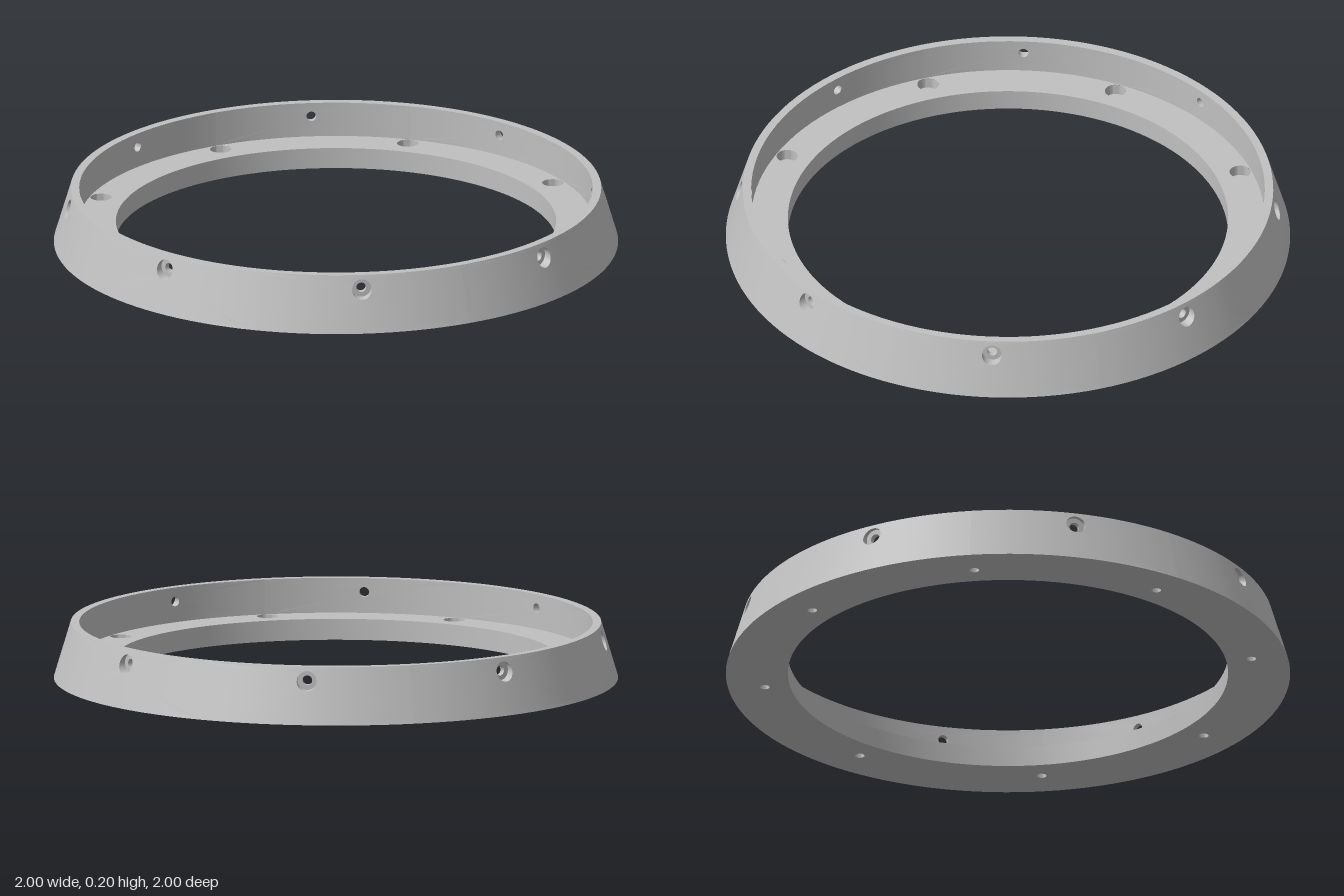
import * as THREE from 'three';
import { toCreasedNormals } from 'three/addons/utils/BufferGeometryUtils.js';

const H = 0.2, LEDGE = 0.075;                 // total height, ledge height
const R_BASE = 1, R_TOP = 0.94, R_WALL = 0.91, R_OPEN = 0.78;
const HOLE_Y = 0.15, BORE = 0.035, PIN = 0.0175, SEAT_Z = 0.93;
const COUNT = 8, STEP = Math.PI / 4;

const outerR = y => R_BASE + (R_TOP - R_BASE) * y / H;
const innerR = () => R_WALL;

// Grid surface from a rule fn(u, v) -> [x, y, z]
function grid(nu, nv, fn, flip = false) {
  const pos = [], idx = [];
  for (let j = 0; j <= nv; j++)
    for (let i = 0; i <= nu; i++) pos.push(...fn(i / nu, j / nv));
  for (let j = 0; j < nv; j++)
    for (let i = 0; i < nu; i++) {
      const a = j * (nu + 1) + i, b = a + 1, c = a + nu + 1, d = c + 1;
      if (flip) idx.push(a, d, b, a, c, d);
      else idx.push(a, b, d, a, d, c);
    }
  const g = new THREE.BufferGeometry();
  g.setAttribute('position', new THREE.Float32BufferAttribute(pos, 3));
  g.setIndex(idx);
  g.computeVertexNormals();
  return g;
}

// Point on a hole's rim, in the sector's tangent plane
function rim(u, r) {
  const a = (u * 4 - 1) * Math.PI / 4 * 2 + Math.PI / 4;
  return [r * Math.cos(a), HOLE_Y + r * Math.sin(a)];
}

// One eighth of a round wall, pierced by a round hole
function wallSector(radius, y0, hole, flip) {
  const S = STEP / 2, lerp = THREE.MathUtils.lerp;
  return grid(64, 8, (u, v) => {
    const [hx, hy] = rim(u, hole);
    const q = (u * 4) % 4, side = Math.floor(q), f = q - side;
    const edge = [
      [S, lerp(y0, H, f)], [lerp(S, -S, f), H],
      [-S, lerp(H, y0, f)], [lerp(-S, S, f), y0],
    ][side];
    const a = lerp(Math.asin(hx / radius(hy)), edge[0], v);
    const y = lerp(hy, edge[1], v), r = radius(y);
    return [r * Math.sin(a), y, r * Math.cos(a)];
  }, flip);
}

// Bore wall between two depths, each a rule of x and y
function bore(r, from, to) {
  return grid(64, 1, (u, v) => {
    const [x, y] = rim(u, r);
    return [x, y, v ? to(x, y) : from(x, y)];
  });
}

// Flat annulus with the eight screw holes
function annulus(r, holeR) {
  const s = new THREE.Shape().absarc(0, 0, r, 0, Math.PI * 2);
  s.holes.push(new THREE.Path().absarc(0, 0, R_OPEN, 0, Math.PI * 2, true));
  for (let k = 0; k < COUNT; k++) {
    const a = (k + 0.5) * STEP;
    s.holes.push(new THREE.Path().absarc(0.87 * Math.cos(a), 0.87 * Math.sin(a), holeR, 0, Math.PI * 2, true));
  }
  return new THREE.ShapeGeometry(s, 64);
}

const lathe = (pts, n) => toCreasedNormals(
  new THREE.LatheGeometry(pts.map(p => new THREE.Vector2(...p)), n), 0.6);

export function createModel() {
  const root = new THREE.Group();
  root.name = 'mountingRing';
  const metal = new THREE.MeshStandardMaterial({ color: 0xc0c0c0 });
  metal.name = 'light grey';
  const add = (name, geo, parent = root) => {
    const m = new THREE.Mesh(geo, metal);
    m.name = name;
    parent.add(m);
    return m;
  };

  // Flat faces and plain round surfaces
  add('underside', annulus(R_BASE, PIN).rotateX(Math.PI / 2));
  add('ledge', annulus(R_WALL, 0.0375).rotateX(-Math.PI / 2)).position.y = LEDGE;
  add('topRim', lathe([[R_TOP, H], [R_WALL, H]], 128));
  add('centralOpening', lathe([[R_OPEN, LEDGE], [R_OPEN, 0]], 128));

  // Walls with counterbored side holes, repeated every 45 degrees
  const onSurface = radius => (x, y) => Math.sqrt(radius(y) ** 2 - x * x);
  const seat = () => SEAT_Z;
  const parts = {
    slopedWall: wallSector(outerR, 0, BORE, true),
    innerWall: wallSector(innerR, LEDGE, PIN, false),
    sideCounterbore: bore(BORE, onSurface(outerR), seat),
    sideHole: bore(PIN, seat, onSurface(innerR)),
    sideHoleSeat: grid(64, 1, (u, v) => [...rim(u, v ? PIN : BORE), SEAT_Z]),
  };
  // Counterbored screw hole through the ledge
  const screwHole = lathe([[0.0375, LEDGE], [0.0375, 0.035], [PIN, 0.035], [PIN, 0]], 48);

  for (let k = 0; k < COUNT; k++) {
    const sector = new THREE.Group();
    sector.name = 'wallSector' + (k + 1);
    sector.rotation.y = k * STEP;
    for (const [name, geo] of Object.entries(parts)) add(name, geo, sector);
    root.add(sector);

    const a = (k + 0.5) * STEP;
    add('ledgeScrewHole', screwHole).position.set(0.87 * Math.cos(a), 0, 0.87 * Math.sin(a));
  }
  return root;
}
